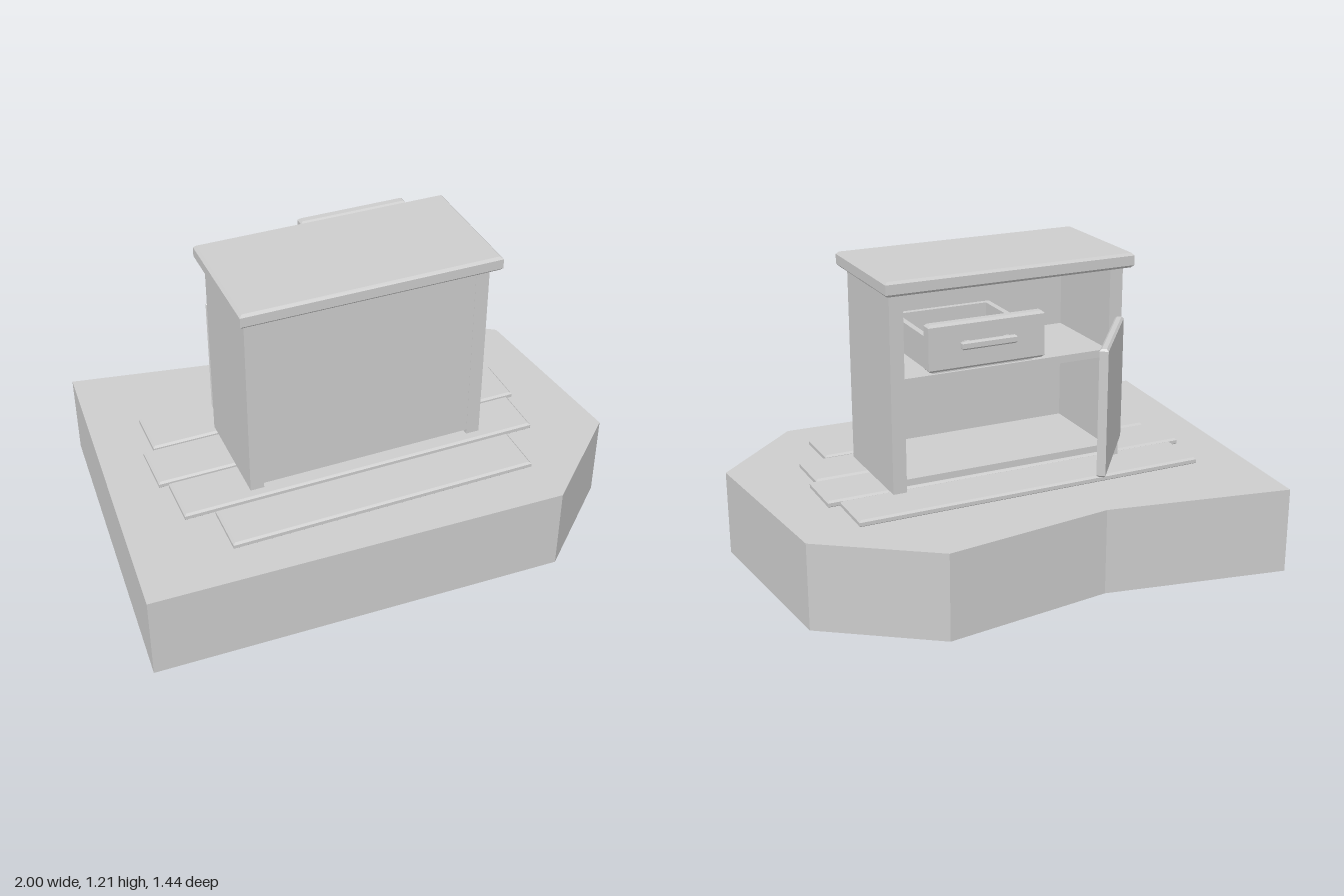
import * as THREE from 'three';

const grey = new THREE.MeshStandardMaterial({ color: 0xcccccc });
grey.name = 'plainGrey';

// Board given by its min and max on each axis, with chamfered edges when bevel > 0
function board(name, [x0, x1], [y0, y1], [z0, z1], bevel = 0) {
  const w = x1 - x0, h = y1 - y0, d = z1 - z0;
  let geo;
  if (bevel > 0) {
    const a = w / 2 - bevel, b = d / 2 - bevel;
    const shape = new THREE.Shape([[-a, -b], [a, -b], [a, b], [-a, b]].map(p => new THREE.Vector2(...p)));
    geo = new THREE.ExtrudeGeometry(shape, {
      depth: h - 2 * bevel, bevelEnabled: true, bevelThickness: bevel, bevelSize: bevel, bevelSegments: 1,
    });
    geo.translate(0, 0, bevel - h / 2).rotateX(-Math.PI / 2);
  } else {
    geo = new THREE.BoxGeometry(w, h, d);
  }
  const mesh = new THREE.Mesh(geo, grey);
  mesh.name = name;
  mesh.position.set((x0 + x1) / 2, (y0 + y1) / 2, (z0 + z1) / 2);
  return mesh;
}

function group(name, ...parts) {
  const g = new THREE.Group();
  g.name = name;
  g.add(...parts);
  return g;
}

export function createModel() {
  // Irregular ground slab
  const outline = [[-0.91, -0.72], [-0.18, -0.585], [0.5, -0.675], [0.925, -0.38], [1, 0.38], [0.635, 0.72], [-1, 0.675]];
  const slabGeo = new THREE.ExtrudeGeometry(
    new THREE.Shape(outline.map(([x, z]) => new THREE.Vector2(x, -z))), { depth: 0.345, bevelEnabled: false });
  slabGeo.rotateX(-Math.PI / 2);
  const slab = new THREE.Mesh(slabGeo, grey);
  slab.name = 'groundSlab';

  // Floor planks
  const planks = [
    [-0.625, 0.605, 0.32, 0.525], [-0.74, 0.72, 0.1, 0.305],
    [-0.775, 0.75, -0.12, 0.09], [-0.73, 0.705, -0.335, -0.13],
  ].map(([x0, x1, z0, z1]) => board('floorPlank', [x0, x1], [0.34, 0.37], [z0, z1], 0.008));

  // Cabinet carcass, open at the back
  const inside = [-0.41, 0.45];
  const cabinet = group('cabinet',
    board('rightSide', [-0.465, -0.41], [0.37, 1.148], [-0.165, 0.265]),
    board('leftSide', [0.45, 0.505], [0.37, 1.148], [-0.165, 0.265]),
    board('frontPanel', inside, [0.39, 1.148], [0.235, 0.264]),
    board('bottomShelf', inside, [0.393, 0.42], [-0.16, 0.235]),
    board('middleShelf', inside, [0.79, 0.82], [-0.16, 0.235]),
    board('counterTop', [-0.495, 0.53], [1.147, 1.205], [-0.2, 0.32], 0.01));

  // Half-open drawer
  const drawer = group('drawer',
    board('drawerFront', [0.005, 0.46], [0.92, 1.095], [-0.42, -0.377], 0.009),
    board('drawerSide', [0.03, 0.052], [0.92, 1.03], [-0.38, 0]),
    board('drawerSide', [0.415, 0.437], [0.92, 1.03], [-0.38, 0]),
    board('drawerBack', [0.052, 0.415], [0.92, 1.03], [-0.022, 0]),
    board('drawerBottom', [0.035, 0.432], [0.906, 0.926], [-0.385, -0.004]),
    board('handleBar', [0.13, 0.345], [1, 1.03], [-0.455, -0.435], 0.006),
    ...[0.15, 0.305].map(x => board('handlePost', [x, x + 0.02], [1.005, 1.025], [-0.437, -0.418])));

  // Door standing ajar on its hinge edge
  const door = board('door', [-0.22, 0.22], [0.45, 0.952], [-0.017, 0.017], 0.008);
  door.position.set(-0.318, 0.701, -0.348);
  door.rotation.y = 0.92;

  return group('sideboardOnSlab', slab, group('floorPlanks', ...planks), cabinet, drawer, door);
}
